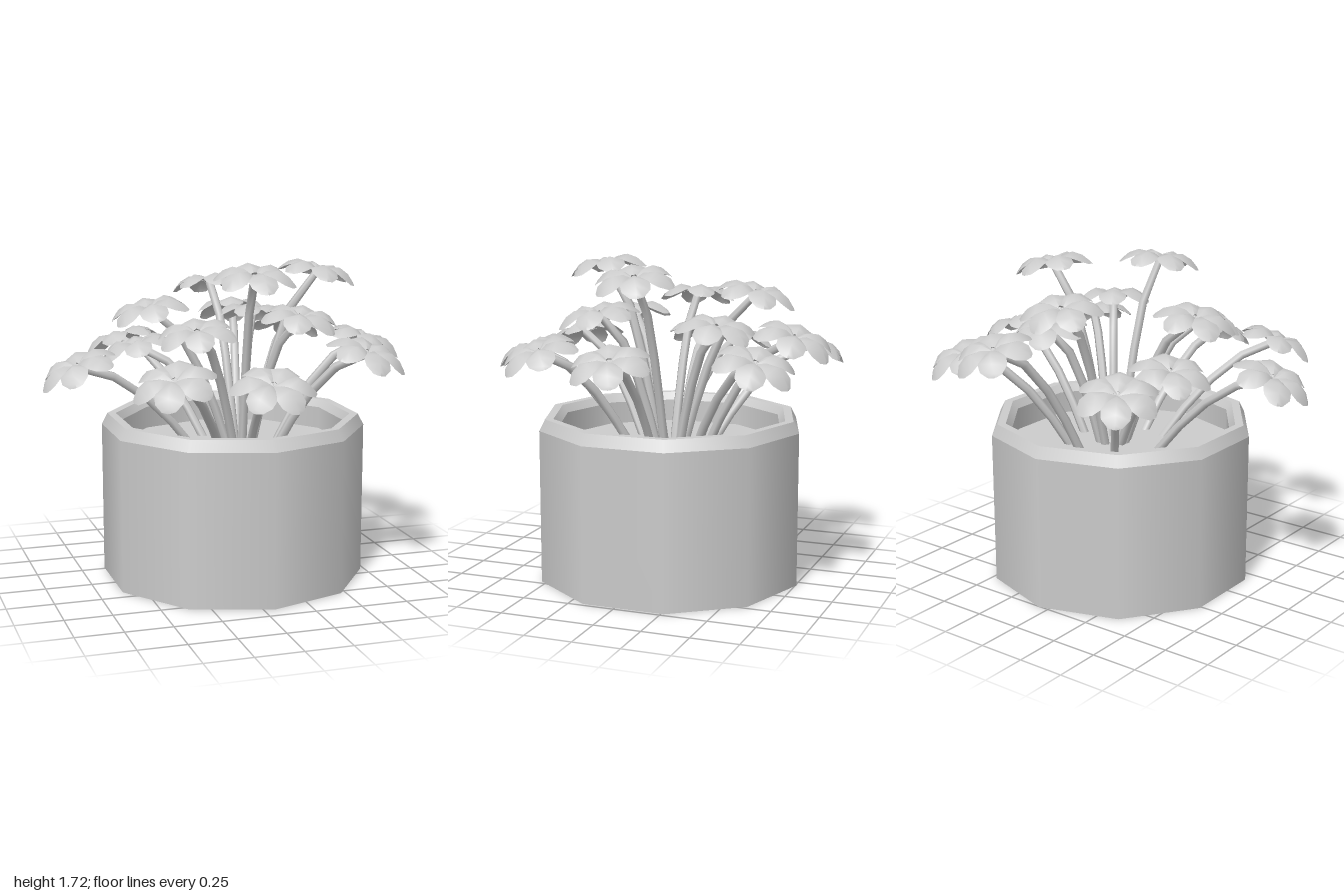
import * as THREE from 'three';
import { mergeGeometries } from 'three/addons/utils/BufferGeometryUtils.js';

const CX = 0.055, CZ = -0.045; // centre of the pot
const SOIL = 0.72;

// flower: x, y, z, turn in degrees, true when the stem grows from the outer ring
const FLOWERS = [
  [-0.41, 1.22, -0.68, 4, true],
  [0.29, 1.35, -0.79, 10, true],
  [0.59, 1.26, -0.68, 10, true],
  [0.07, 1.54, -0.52, 30, false],
  [0.28, 1.38, -0.38, 0, false],
  [-0.42, 1.24, -0.26, 20, false],
  [-0.41, 1.47, -0.03, 27, false],
  [-0.82, 1.2, 0.07, 12, true],
  [0.8, 1.26, -0.01, 20, true],
  [0.53, 1.64, -0.03, 25, false],
  [-0.24, 1.38, 0.28, 20, false],
  [0.06, 1.66, 0.31, 30, false],
  [0.33, 1.43, 0.25, 5, false],
  [0.63, 1.26, 0.45, 30, true],
  [-0.47, 1.21, 0.68, 4, true],
  [0, 1.18, 0.78, -12, true],
];

// petal cross-sections: distance, half width, ridge height, edge height
const PETAL = [
  [0, 0.004, 0, 0],
  [0.06, 0.04, 0.036, 0.018],
  [0.12, 0.075, 0.042, 0.014],
  [0.17, 0.07, 0.018, -0.012],
  [0.205, 0.035, -0.018, -0.035],
  [0.217, 0.004, -0.035, -0.037],
];

function petalGeometry() {
  const pos = [], index = [];
  PETAL.forEach(([d, w, ridge, edge], i) => {
    pos.push(d, edge, w, d, ridge, 0, d, edge, -w);
    if (i === 0) return;
    for (let k = 0; k < 2; k++) {
      const a = (i - 1) * 3 + k, b = a + 3;
      index.push(a, b, b + 1, a, b + 1, a + 1);
    }
  });
  const g = new THREE.BufferGeometry();
  g.setAttribute('position', new THREE.Float32BufferAttribute(pos, 3));
  g.setIndex(index);
  g.computeVertexNormals();
  return g;
}

function blossomGeometry() {
  const petals = [];
  for (let i = 0; i < 6; i++) petals.push(petalGeometry().rotateY(i * Math.PI / 3));
  return mergeGeometries(petals);
}

// ten-sided pot: each band of the profile is its own ring so the rims stay sharp
function potGeometry() {
  const profile = [[0, 0], [0.711, 0], [0.711, 0.82], [0.68, 0.88], [0.635, 0.88], [0.605, 0.84], [0.605, SOIL - 0.02]];
  const bands = [];
  for (let i = 1; i < profile.length; i++) {
    const points = [profile[i - 1], profile[i]].map(([r, y]) => new THREE.Vector2(r, y));
    bands.push(new THREE.LatheGeometry(points, 10));
  }
  return mergeGeometries(bands);
}

export function createModel() {
  const model = new THREE.Group();
  const solid = new THREE.MeshStandardMaterial({ color: 0xcccccc });
  const thin = new THREE.MeshStandardMaterial({ color: 0xcccccc, side: THREE.DoubleSide });

  const add = (name, geometry, material, parent = model) => {
    const mesh = new THREE.Mesh(geometry, material);
    mesh.name = name;
    parent.add(mesh);
    return mesh;
  };

  add('pot', potGeometry(), solid).position.set(CX, 0, CZ);
  add('soil', new THREE.CircleGeometry(0.61, 10, Math.PI / 2).rotateX(-Math.PI / 2), solid).position.set(CX, SOIL, CZ);

  const blossom = blossomGeometry();
  const up = new THREE.Vector3(0, 1, 0);
  const root = new THREE.Vector3(0.1, SOIL - 0.02, -0.06);

  for (const [x, y, z, turn, outer] of FLOWERS) {
    const flower = new THREE.Group();
    flower.name = 'flower';
    model.add(flower);

    // stem leaves the soil steeply and arches out to the blossom
    const top = new THREE.Vector3(x, y, z);
    const out = new THREE.Vector3(x - root.x, 0, z - root.z);
    const reach = out.length();
    out.normalize();
    const start = outer ? 0.29 * reach : 0.07;
    const base = root.clone().addScaledVector(out, start);
    const bend = root.clone().addScaledVector(out, start + (reach - start) * 0.52);
    bend.y = y - 0.04;
    const curve = new THREE.QuadraticBezierCurve3(base, bend, top);
    add('stem', new THREE.TubeGeometry(curve, 4, 0.024, 6), thin, flower);

    // blossom leans outward, more so the further it is from the middle
    const head = add('blossom', blossom, thin, flower);
    head.position.copy(top);
    const axis = new THREE.Vector3().crossVectors(up, out);
    const lean = Math.hypot(x - CX, z - CZ) * 0.45;
    head.quaternion.setFromAxisAngle(axis, lean)
      .multiply(new THREE.Quaternion().setFromAxisAngle(up, THREE.MathUtils.degToRad(turn)));
  }
  return model;
}
